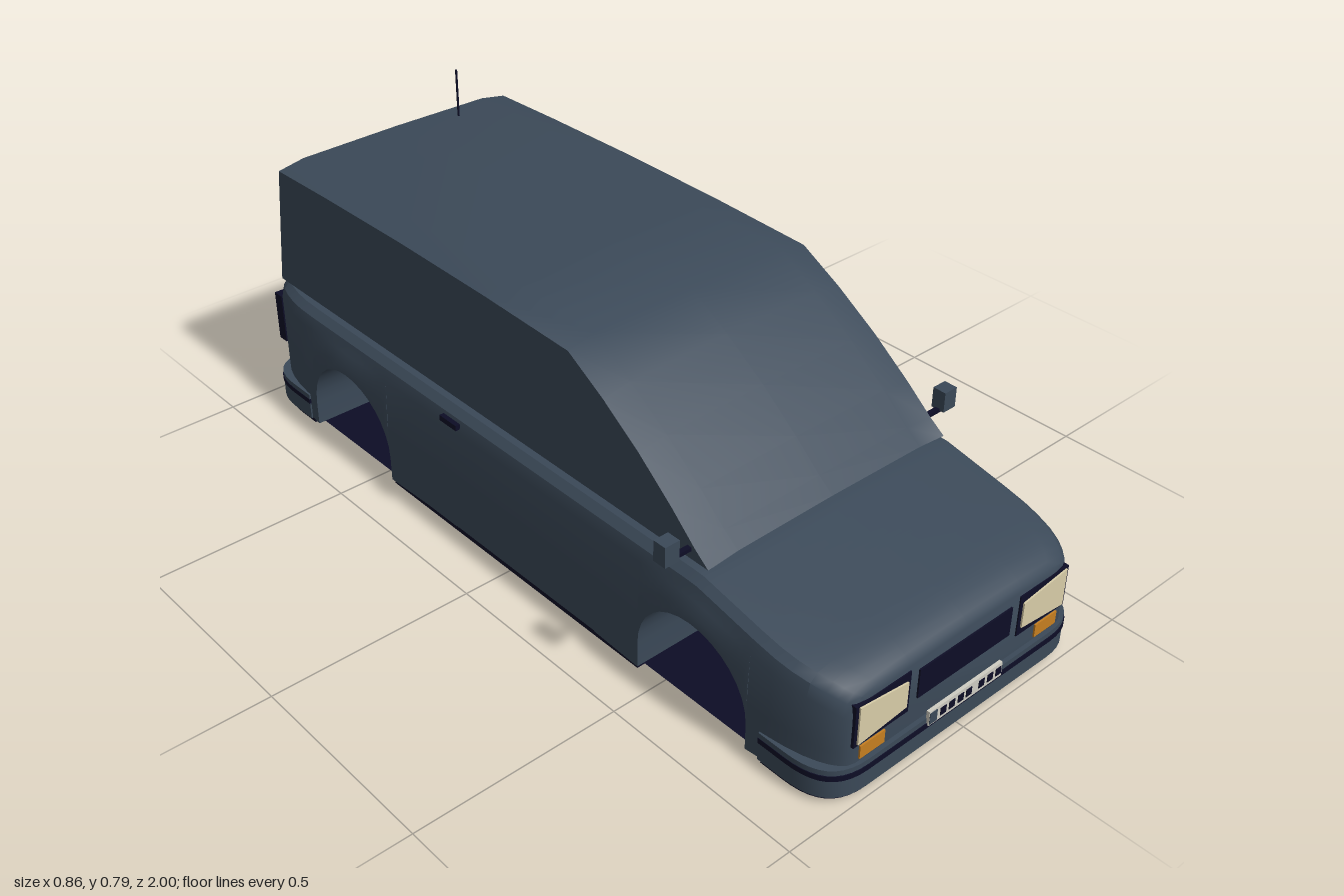
import * as THREE from 'three';
import { toCreasedNormals } from 'three/addons/utils/BufferGeometryUtils.js';

const mat = (name, color, side = THREE.FrontSide) => {
  const m = new THREE.MeshStandardMaterial({ color, side });
  m.name = name;
  return m;
};

// Skin a list of equal-length cross-sections running from back to front
function loft(sections, closed) {
  const n = sections[0].length, pos = sections.flat(2), idx = [];
  const last = (sections.length - 1) * n;
  for (let i = 0; i < sections.length - 1; i++) {
    for (let j = 0; j < (closed ? n : n - 1); j++) {
      const k = (j + 1) % n, a = i * n, b = a + n;
      idx.push(a + j, a + k, b + j, a + k, b + k, b + j);
    }
  }
  for (let j = 1; j < n - 1; j++) {
    idx.push(0, j + 1, j);
    if (closed) idx.push(last, last + j, last + j + 1);
  }
  const g = new THREE.BufferGeometry();
  g.setAttribute('position', new THREE.Float32BufferAttribute(pos, 3));
  g.setIndex(idx);
  return toCreasedNormals(g, 0.55);
}

const ARCH_Z = 0.605, ARCH_R = 0.16, SILL = 0.018;
const quarter = (t) => Math.sqrt(Math.max(0, 1 - t * t));

// Half width and top height of the lower body along its length
function halfWidth(z) {
  const a = Math.abs(z);
  return a < 0.78 ? 0.383 : 0.308 + 0.075 * quarter((a - 0.78) / 0.2);
}
function topHeight(z) {
  let y = 0.354 - 0.2 * Math.max(0, z - 0.6);
  if (z > 0.9) y -= 0.03 * (1 - quarter((z - 0.9) / 0.08));
  if (z < -0.93) y -= 0.022 * (1 - quarter((-z - 0.93) / 0.05));
  return y;
}

function bodySection([z, bottom]) {
  const w = halfWidth(z), t = topHeight(z);
  const flare = 0.01 * Math.max(0, 1 - ((Math.abs(z) - ARCH_Z) / 0.22) ** 2);
  const shoulder = t - 0.06;
  const half = [
    [w + flare, bottom], [w + flare, bottom + (shoulder - bottom) * 0.5], [w, shoulder],
    [w - 0.008, t - 0.03], [w - 0.026, t - 0.014], [w - 0.07, t - 0.007], [0.17, t - 0.002],
  ];
  const right = half.map(([x, y]) => [x, y, z]);
  const left = half.map(([x, y]) => [-x, y, z]).reverse();
  return [...right, [0, t, z], ...left];
}

function bodyGeometry() {
  const ends = [0.82, 0.86, 0.9, 0.93, 0.95, 0.965, 0.975, 0.98];
  const stations = [];
  for (const z of ends) stations.push([z, SILL], [-z, SILL]);
  for (const z of [-0.3, 0, 0.3]) stations.push([z, SILL]);
  stations.sort((a, b) => a[0] - b[0]);
  // Wheel arches: the lower edge follows a half circle
  const arch = (c) => {
    const list = [[c - ARCH_R, SILL]];
    for (let i = 0; i <= 16; i++) {
      const a = Math.PI * (1 - i / 16);
      list.push([c + ARCH_R * Math.cos(a), 0.08 + ARCH_R * Math.sin(a)]);
    }
    list.push([c + ARCH_R, SILL]);
    return list;
  };
  const n = ends.length;
  const all = [...stations.slice(0, n), ...arch(-ARCH_Z), ...stations.slice(n, n + 3),
    ...arch(ARCH_Z), ...stations.slice(n + 3)];
  return loft(all.map(bodySection), true);
}

// Cabin shell: raked windscreen, crowned roof, slightly leaning tail
function cabinGeometry() {
  const profile = [[-0.935, 0.663], [-0.7, 0.668], [-0.4, 0.671], [-0.1, 0.668], [0.18, 0.66],
    [0.29, 0.598], [0.4, 0.525], [0.5, 0.447], [0.57, 0.386], [0.61, 0.356]];
  return loft(profile.map(([z, t]) => {
    const f = (t - 0.355) / 0.305;
    const lean = (y) => (z < -0.9 ? z + 0.027 * (y - 0.355) / 0.3 : z);
    const edge = t - 0.004 - 0.006 * f, wt = 0.35 - 0.01 * f;
    const half = [[0.35, 0.352], [wt, edge], [0.27, t + 0.003]];
    const pts = [...half, [0, t + 0.006], ...half.map(([x, y]) => [-x, y]).reverse()];
    return pts.map(([x, y]) => [x, y, lean(y)]);
  }), false);
}

// One horizontal layer of a wrap-around bumper
function bumperLayer(hw, reach, y0, y1) {
  const s = new THREE.Shape();
  s.moveTo(-hw, 0);
  s.lineTo(hw, 0);
  s.lineTo(hw, reach - 0.12);
  s.bezierCurveTo(hw, reach - 0.04, hw - 0.03, reach, hw - 0.11, reach);
  s.lineTo(-hw + 0.11, reach);
  s.bezierCurveTo(-hw + 0.03, reach, -hw, reach - 0.04, -hw, reach - 0.12);
  const g = new THREE.ExtrudeGeometry(s, { depth: y1 - y0, bevelEnabled: false, curveSegments: 10 });
  g.rotateX(Math.PI / 2);
  g.translate(0, y1, 0.8);
  return toCreasedNormals(g, 0.6);
}

export function createModel() {
  const paint = mat('slatePaint', 0x3b4958);
  const shell = mat('slateShell', 0x3b4958, THREE.DoubleSide);
  const trim = mat('darkTrim', 0x0d0d26, THREE.DoubleSide);
  const lens = mat('headlightCream', 0xd8cda8);
  const amber = mat('indicatorAmber', 0xc67e20);
  const red = mat('tailRed', 0x98102a);
  const white = mat('plateWhite', 0xcfcdc2);

  const model = new THREE.Group();
  model.name = 'van';
  const add = (name, geo, material, parent = model) => {
    const m = new THREE.Mesh(geo, material);
    m.name = name;
    parent.add(m);
    return m;
  };
  const box = (name, material, w, h, d, x, y, z, parent) => {
    const m = add(name, new THREE.BoxGeometry(w, h, d), material, parent);
    m.position.set(x, y, z);
    return m;
  };

  add('lowerBody', bodyGeometry(), paint);
  add('cabin', cabinGeometry(), shell);

  // Flat underside
  const floor = add('floor', new THREE.PlaneGeometry(0.73, 1.86), trim);
  floor.rotation.x = Math.PI / 2;
  floor.position.y = 0.012;

  // Front and rear ends, each built facing forwards
  const front = new THREE.Group(), rear = new THREE.Group();
  front.name = 'frontEnd';
  rear.name = 'rearEnd';
  rear.rotation.y = Math.PI;
  model.add(front, rear);
  for (const end of [front, rear]) {
    add('bumperBase', bumperLayer(0.378, 0.18, 0, 0.016), trim, end);
    add('bumperLower', bumperLayer(0.388, 0.19, 0.016, 0.06), paint, end);
    add('bumperStrip', bumperLayer(0.389, 0.192, 0.06, 0.073), trim, end);
    add('bumperUpper', bumperLayer(0.388, 0.19, 0.073, 0.086), paint, end);

    // Number plate with plain blocks
    const y = end === front ? 0.087 : 0.125;
    const z = end === front ? 0.992 : 0.983;
    box('plate', white, 0.224, end === front ? 0.036 : 0.052, 0.008, 0, y, z, end);
    box('plateBand', paint, 0.022, 0.028, 0.003, -0.1, y, z + 0.004, end);
    for (const x of [-0.07, -0.044, -0.017, 0.008, 0.047, 0.074, 0.1]) {
      box('plateBlock', trim, 0.017, end === front ? 0.019 : 0.032, 0.003, x, y, z + 0.004, end);
    }
  }

  box('grille', trim, 0.28, 0.072, 0.01, 0, 0.187, 0.979, front);

  for (const s of [-1, 1]) {
    // Headlights and indicators
    box('headlightFrame', trim, 0.155, 0.103, 0.03, s * 0.243, 0.184, 0.968, front);
    const shape = new THREE.Shape([[0.175, 0.152], [0.312, 0.139], [0.312, 0.232], [0.175, 0.215]]
      .map(([x, y]) => new THREE.Vector2(s * x, y)));
    const glass = add('headlightLens',
      new THREE.ExtrudeGeometry(shape, { depth: 0.006, bevelEnabled: false }), lens, front);
    glass.position.z = 0.981;
    box('frontIndicator', amber, 0.07, 0.032, 0.03, s * 0.265, 0.11, 0.969, front);

    // Tail lamps
    box('tailLampFrame', trim, 0.13, 0.132, 0.03, s * 0.285, 0.225, 0.967, rear);
    box('tailLamp', red, 0.116, 0.118, 0.006, s * 0.285, 0.225, 0.983, rear);
    box('rearIndicatorFrame', trim, 0.074, 0.052, 0.03, s * 0.288, 0.118, 0.967, rear);
    box('rearIndicator', amber, 0.066, 0.044, 0.006, s * 0.288, 0.118, 0.983, rear);

    // Mirrors, handles and sills
    box('mirrorArm', trim, 0.06, 0.009, 0.012, s * 0.367, 0.375, 0.555);
    box('mirror', paint, 0.038, 0.05, 0.034, s * 0.41, 0.4, 0.555);
    box('doorHandle', trim, 0.012, 0.014, 0.06, s * 0.385, 0.311, -0.19);
    box('sill', trim, 0.02, 0.012, 0.88, s * 0.373, 0.014, 0);
  }

  // Exhaust and aerial
  box('exhaust', trim, 0.028, 0.022, 0.03, 0.19, 0.03, -0.985);
  const aerial = add('aerial', new THREE.CylinderGeometry(0.0028, 0.0028, 0.132, 8), trim);
  aerial.position.set(0.157, 0.726, -0.855);

  return model;
}
